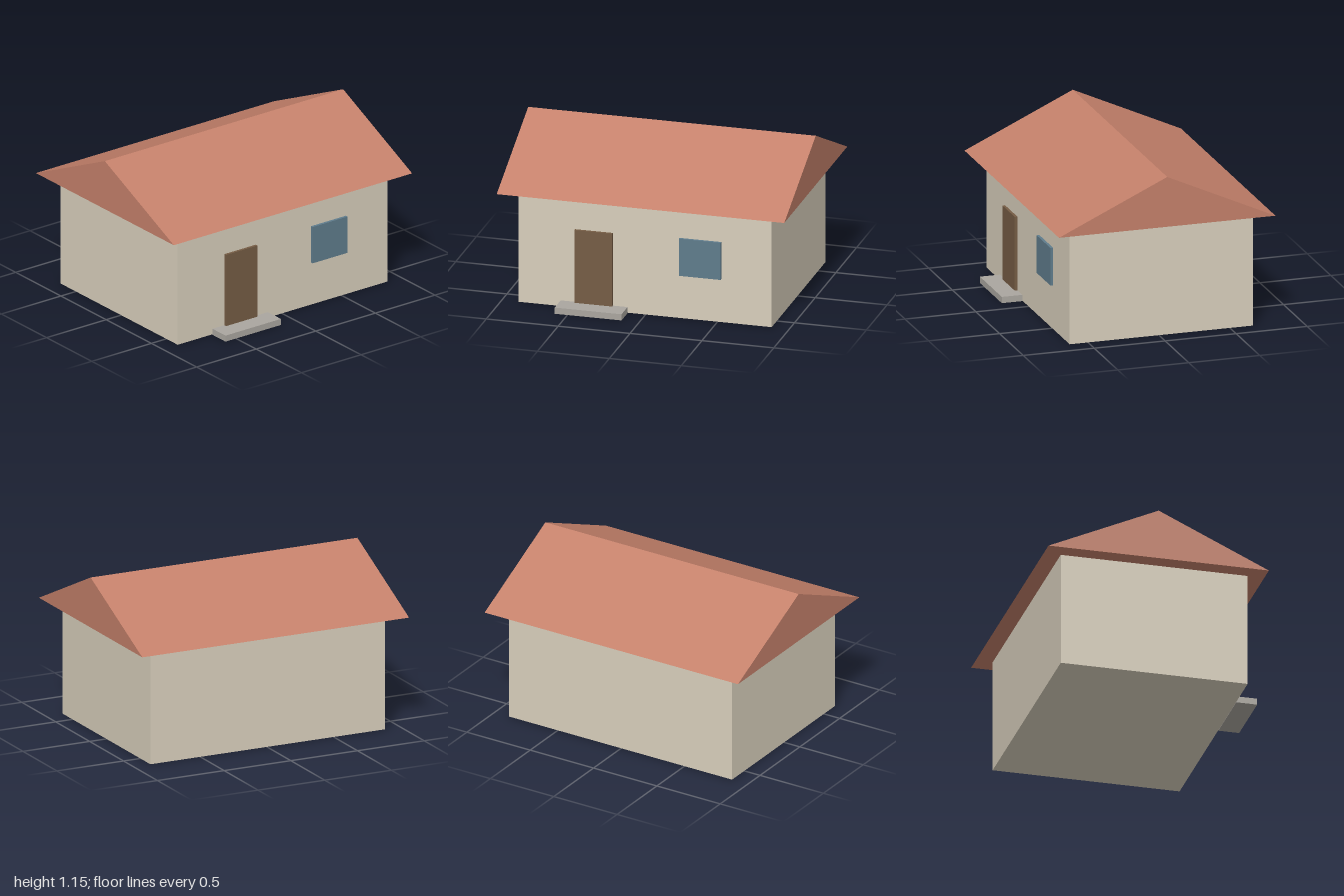
import * as THREE from 'three';

const material = (color) => new THREE.MeshStandardMaterial({ color, flatShading: true });

// Box given by its extents along each axis
function block(name, color, [x0, x1], [y0, y1], [z0, z1]) {
  const mesh = new THREE.Mesh(new THREE.BoxGeometry(x1 - x0, y1 - y0, z1 - z0), material(color));
  mesh.position.set((x0 + x1) / 2, (y0 + y1) / 2, (z0 + z1) / 2);
  mesh.name = name;
  return mesh;
}

// Solid gable roof: triangular section extruded along x
function gableRoof(color, halfLength, eaveY, ridgeY, zBack, zFront) {
  const section = new THREE.Shape();
  section.moveTo(-zFront, eaveY);
  section.lineTo(-zBack, eaveY);
  section.lineTo(-(zBack + zFront) / 2, ridgeY);
  section.closePath();
  const geometry = new THREE.ExtrudeGeometry(section, { depth: halfLength * 2, bevelEnabled: false });
  geometry.translate(0, 0, -halfLength).rotateY(Math.PI / 2);
  const mesh = new THREE.Mesh(geometry, material(color));
  mesh.name = 'roof';
  return mesh;
}

export function createModel() {
  const house = new THREE.Group();
  house.name = 'house';
  const wallFront = 0.633;
  const panelFront = 0.652;

  house.add(
    block('walls', 0xd8cfbc, [-0.88, 0.88], [0.004, 0.8], [-0.66, wallFront]),
    gableRoof(0xc4806a, 1, 0.8, 1.15, -0.777, 0.748),
    // Door and window stand slightly proud of the front wall
    block('door', 0x755c44, [-0.487, -0.225], [0.044, 0.562], [wallFront, panelFront]),
    block('window', 0x5f7c8c, [0.239, 0.53], [0.311, 0.575], [wallFront, panelFront]),
    block('doorstep', 0xaaa69f, [-0.588, -0.123], [0, 0.044], [wallFront, 0.777]),
  );
  return house;
}
